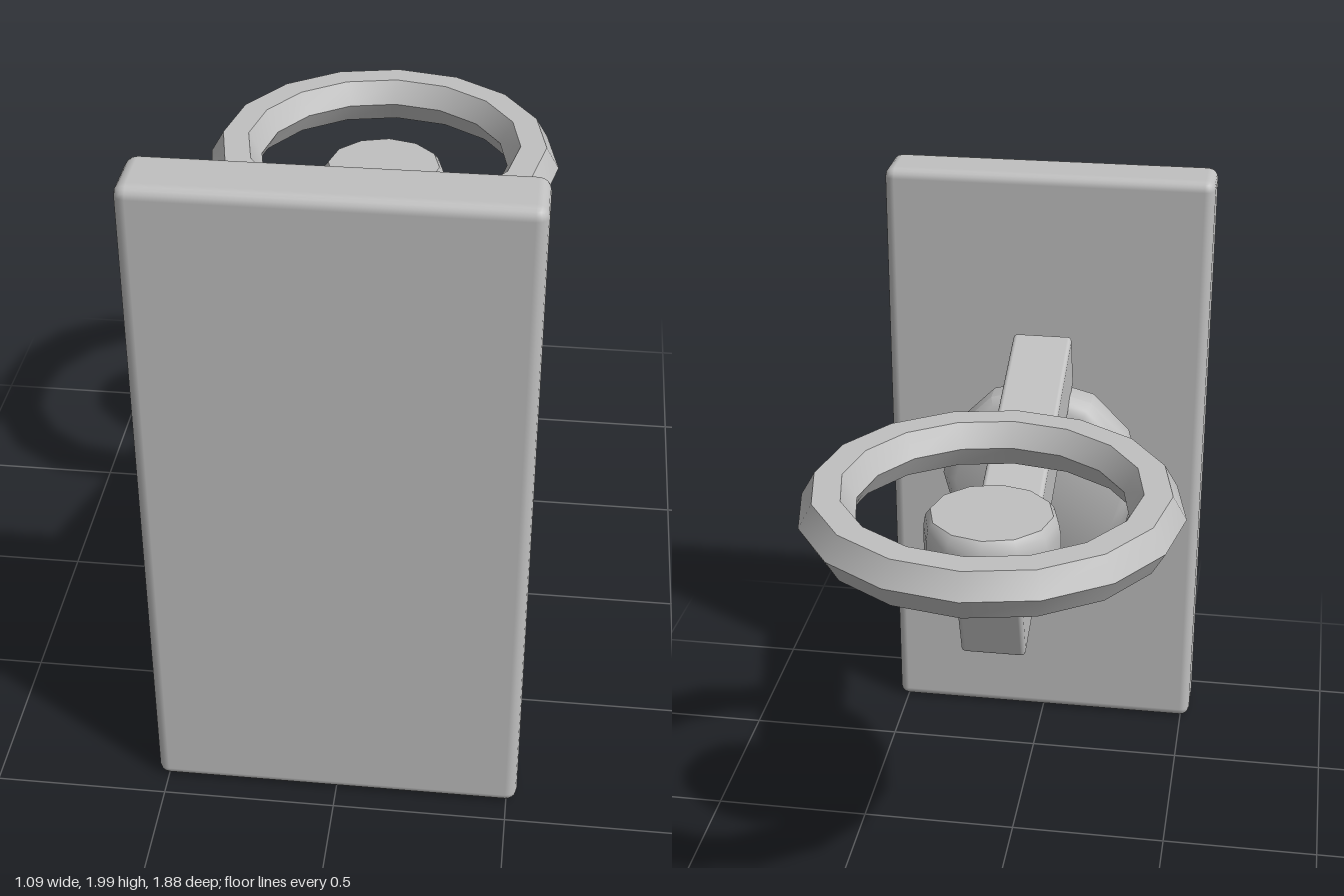
import * as THREE from 'three';
import { toCreasedNormals } from 'three/addons/utils/BufferGeometryUtils.js';
import { RoundedBoxGeometry } from 'three/addons/geometries/RoundedBoxGeometry.js';

export function createModel() {
  const group = new THREE.Group();
  const grey = new THREE.MeshStandardMaterial({ color: 0xc0c0c0 });
  grey.name = 'grey';

  function add(name, geometry, x, y, z) {
    const mesh = new THREE.Mesh(geometry, grey);
    mesh.name = name;
    mesh.position.set(x, y, z);
    group.add(mesh);
    return mesh;
  }

  // Closed, softly bevelled disc from [radius, height] points, bottom to top
  const lathe = (points) => toCreasedNormals(
    new THREE.LatheGeometry(points.map(([r, h]) => new THREE.Vector2(r, h)), 12), 0.7);

  // Upright slab
  add('plate', new RoundedBoxGeometry(1.06, 1.99, 0.192, 2, 0.033), 0, 1.005, 0.841);

  // Round mount on the back of the slab, axis along z
  const mount = add('mount', lathe([
    [0, 0], [0.28, 0], [0.31, 0.015], [0.33, 0.05],
    [0.33, 0.125], [0.30, 0.175], [0, 0.175],
  ]), 0, 0.995, 0.578);
  mount.rotation.x = Math.PI / 2;

  // Sloping arm
  const arm = add('arm', new RoundedBoxGeometry(0.19, 0.205, 1.18, 2, 0.014), 0, 1.205, 0.14);
  arm.rotation.x = -0.342;

  // Knob at the end of the arm
  add('knob', lathe([
    [0, 0], [0.165, 0], [0.183, 0.015], [0.196, 0.06],
    [0.196, 0.19], [0.19, 0.225], [0.175, 0.245], [0, 0.245],
  ]), 0, 1.14, -0.393);

  // Six-sided ring floating around the knob
  const ring = new THREE.TorusGeometry(0.465, 0.08, 6, 16);
  ring.rotateX(Math.PI / 2);
  add('ring', toCreasedNormals(ring, 0.6), 0, 1.403, -0.393);

  return group;
}
